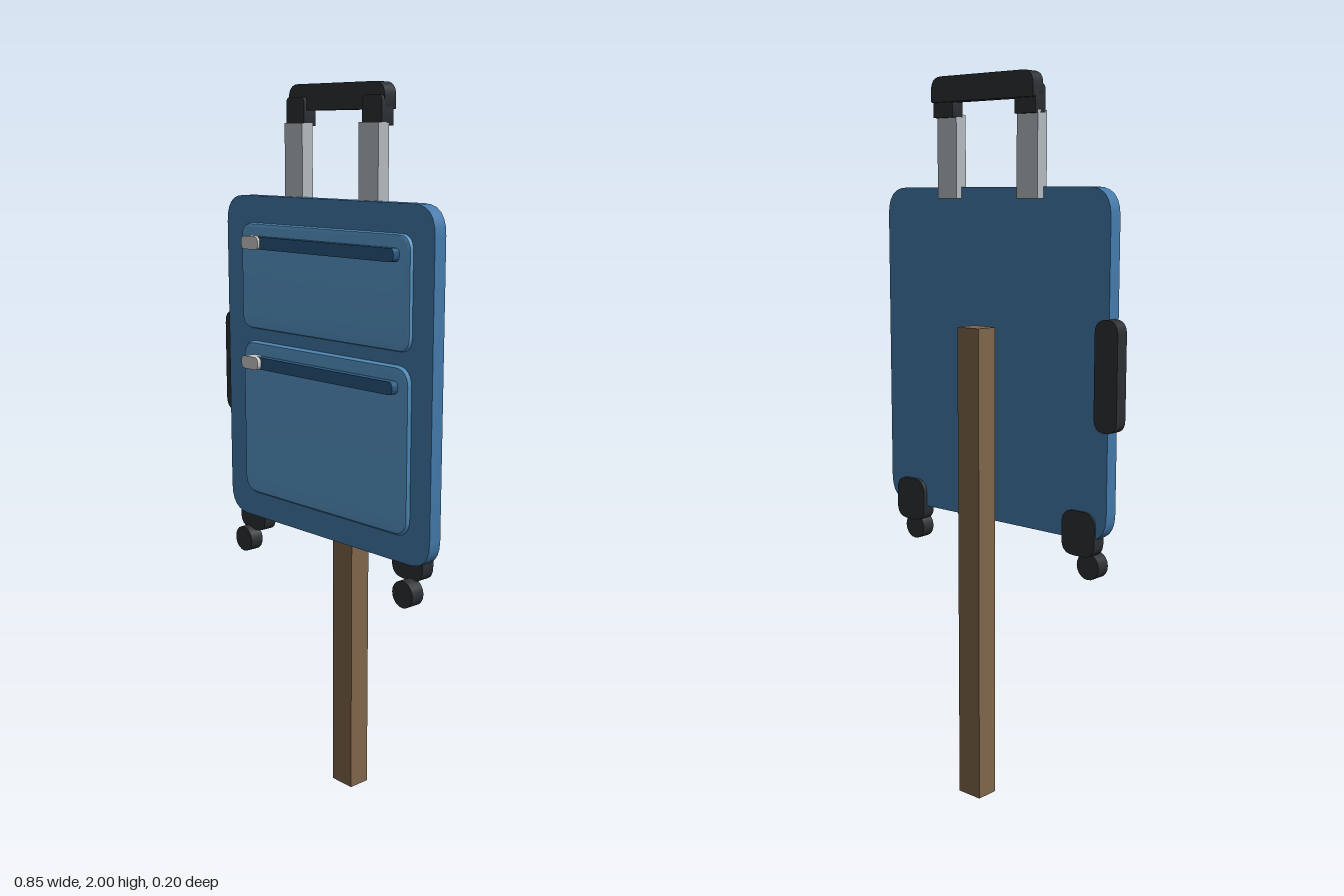
import * as THREE from 'three';
import { toCreasedNormals } from 'three/addons/utils/BufferGeometryUtils.js';

const mat = (color) => new THREE.MeshStandardMaterial({ color });
const blue = mat(0x437aab), lightBlue = mat(0x5999cc), darkBlue = mat(0x2a5780);
const black = mat(0x2b3033), metal = mat(0xb4bbbf), white = mat(0xd8d8d8), wood = mat(0x80664a);

// Outline with four rounded corners: r at the top, rb at the bottom
function roundedShape(x0, x1, y0, y1, r, rb = r) {
  const s = new THREE.Shape();
  s.moveTo(x0 + rb, y0);
  s.lineTo(x1 - rb, y0);
  s.quadraticCurveTo(x1, y0, x1, y0 + rb);
  s.lineTo(x1, y1 - r);
  s.quadraticCurveTo(x1, y1, x1 - r, y1);
  s.lineTo(x0 + r, y1);
  s.quadraticCurveTo(x0, y1, x0, y1 - r);
  s.lineTo(x0, y0 + rb);
  s.quadraticCurveTo(x0, y0, x0 + rb, y0);
  return s;
}

export function createModel() {
  const model = new THREE.Group();

  function add(name, geometry, material) {
    const mesh = new THREE.Mesh(geometry, material);
    mesh.name = name;
    model.add(mesh);
    return mesh;
  }

  // Rounded plate between two depths
  function plate(name, [x0, x1], [y0, y1], [z0, z1], r, material, rb = r) {
    const g = new THREE.ExtrudeGeometry(roundedShape(x0, x1, y0, y1, r, rb),
      { depth: z1 - z0, bevelEnabled: false, curveSegments: 6 });
    g.translate(0, 0, z0);
    return add(name, toCreasedNormals(g, 0.6), material);
  }

  function box(name, [x0, x1], [y0, y1], [z0, z1], material) {
    const g = new THREE.BoxGeometry(x1 - x0, y1 - y0, z1 - z0);
    g.translate((x0 + x1) / 2, (y0 + y1) / 2, (z0 + z1) / 2);
    return add(name, g, material);
  }

  // Raised pocket with a sloping rim
  function pocket(name, [x0, x1], [y0, y1], z0, z1, rim) {
    const g = new THREE.ExtrudeGeometry(
      roundedShape(x0 + rim, x1 - rim, y0 + rim, y1 - rim, 0.03), {
        depth: 0.01, bevelThickness: z1 - z0, bevelSize: rim, bevelSegments: 2, curveSegments: 6,
      });
    g.translate(0, 0, z0 - 0.01);
    return add(name, toCreasedNormals(g, 0.6), lightBlue);
  }

  // Post behind the case
  box('stake', [-0.04, 0.038], [0, 1.335], [-0.1, -0.035], wood);

  // Case and its two front pockets
  plate('caseBody', [-0.387, 0.424], [0.783, 1.706], [0.016, 0.055], 0.075, blue);
  pocket('upperPocket', [-0.315, 0.352], [1.337, 1.632], 0.055, 0.066, 0.01);
  pocket('lowerPocket', [-0.315, 0.352], [0.855, 1.302], 0.055, 0.066, 0.02);

  // Zips with pulls
  for (const [name, y, zFront] of [['upper', 1.58, 0.095], ['lower', 1.246, 0.1]]) {
    plate(name + 'Zip', [-0.272, 0.314], [y - 0.017, y + 0.017], [0.06, 0.087], 0.014, darkBlue);
    plate(name + 'ZipPull', [-0.277, -0.205], [y - 0.018, y + 0.018], [zFront - 0.012, zFront], 0.015, white);
    box(name + 'ZipPullNeck', [-0.262, -0.222], [y - 0.018, y + 0.018], [0.06, zFront - 0.01], white);
  }

  // Carry handle on the side
  plate('sideHandle', [-0.426, -0.352], [1.08, 1.373], [0.001, 0.039], 0.037, black);

  // Pull-out handle: two posts, their caps and the grip
  for (const [x, z] of [[-0.165, -0.009], [0.131, -0.004]]) {
    box('handlePost', [x, x + 0.072], [1.675, 1.9], [z, z + 0.037], metal);
    plate('handleCap', [x, x + 0.072], [1.892, 1.967], [-0.019, 0.021], 0.015, black, 0.001);
  }
  plate('handleGrip', [-0.165, 0.203], [1.932, 2], [-0.028, 0.012], 0.037, black, 0.006);

  // Casters
  for (const [x, zBracket, zWheel] of [[-0.297, 0.01, 0.03], [0.334, 0.004, 0.036]]) {
    plate('casterBracket', [x - 0.056, x + 0.056], [0.737, 0.86],
      [zBracket, zBracket + 0.04], 0.04, black);
    const wheelX = x < 0 ? x - 0.019 : x + 0.016;
    const g = new THREE.CylinderGeometry(0.037, 0.037, 0.041, 20);
    g.rotateX(Math.PI / 2);
    add('casterWheel', g, black).position.set(wheelX, 0.707, zWheel + 0.0205);
  }

  return model;
}
